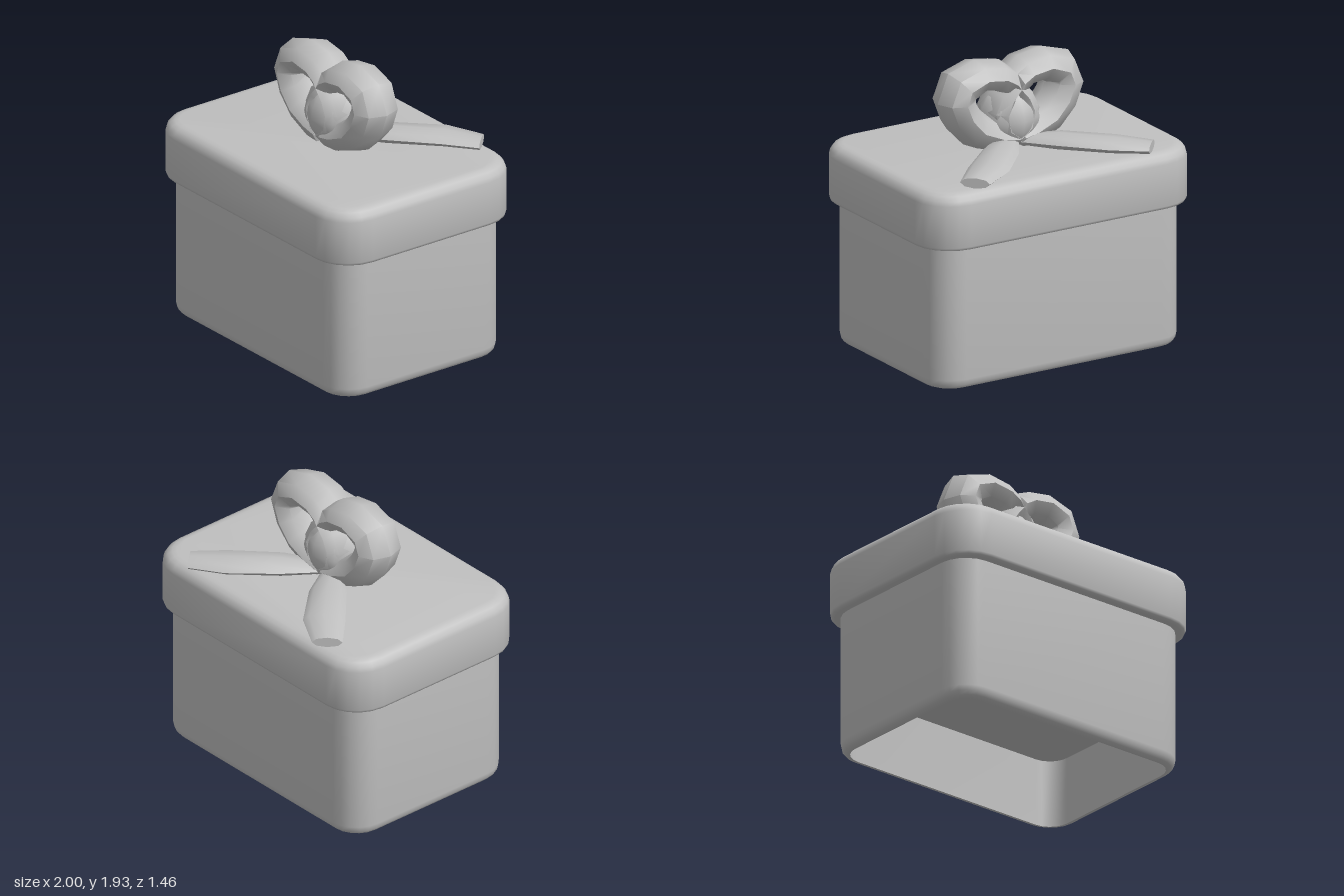
import * as THREE from 'three';
import { toCreasedNormals } from 'three/addons/utils/BufferGeometryUtils.js';

const grey = new THREE.MeshStandardMaterial({ color: 0xc0c0c0 });
grey.name = 'plain grey';

// Skin a list of rings (each counter-clockwise around the sweep direction)
function loft(rings, { closed = false, startCap = false, endCap = false, crease = 50 } = {}) {
  const n = rings[0].length, index = [];
  const rows = closed ? rings.length : rings.length - 1;
  for (let i = 0; i < rows; i++) {
    const a = i * n, b = ((i + 1) % rings.length) * n;
    for (let j = 0; j < n; j++) {
      const k = (j + 1) % n;
      index.push(a + j, a + k, b + k, a + j, b + k, b + j);
    }
  }
  const last = (rings.length - 1) * n;
  for (let j = 1; j < n - 1; j++) {
    if (startCap) index.push(0, j + 1, j);
    if (endCap) index.push(last, last + j, last + j + 1);
  }
  const g = new THREE.BufferGeometry();
  g.setAttribute('position', new THREE.Float32BufferAttribute(rings.flat(2), 3));
  g.setIndex(index);
  return toCreasedNormals(g, THREE.MathUtils.degToRad(crease));
}

// Horizontal rounded rectangle
function roundedRing(halfX, halfZ, radius, inset, y) {
  const ring = [], steps = 5, r = radius - inset;
  [[1, 1], [-1, 1], [-1, -1], [1, -1]].forEach(([sx, sz], q) => {
    for (let i = 0; i <= steps; i++) {
      const a = (q + i / steps) * Math.PI / 2;
      ring.push([sx * (halfX - radius) + r * Math.cos(a), y, -sz * (halfZ - radius) - r * Math.sin(a)]);
    }
  });
  return ring;
}

const roundedBody = (halfX, halfZ, radius, profile, options) =>
  loft(profile.map(([inset, y]) => roundedRing(halfX, halfZ, radius, inset, y)), options);

// One half of the heart-shaped bow: a closed loop of [x, y, half thickness]
function bowLoop(side) {
  const path = [
    [0, 1.40, 0.11], [0.03, 1.40, 0.11], [0.13, 1.42, 0.12], [0.27, 1.48, 0.12],
    [0.36, 1.58, 0.125], [0.405, 1.69, 0.125], [0.37, 1.78, 0.125], [0.24, 1.83, 0.105],
    [0.10, 1.81, 0.10], [0.025, 1.765, 0.11], [0, 1.73, 0.06], [0.06, 1.66, 0.08],
    [0.10, 1.57, 0.09], [0.08, 1.46, 0.08],
  ];
  const n = path.length;
  const rings = path.map(([x, y, half], i) => {
    const p = path[(i + n - 1) % n], q = path[(i + 1) % n];
    const t = new THREE.Vector2(side * (q[0] - p[0]), q[1] - p[1]).normalize();
    return Array.from({ length: 8 }, (_, j) => {
      const a = j * Math.PI / 4, d = half * Math.cos(a);
      // the two halves meet on the centre plane
      const px = side * Math.max(0, side * (side * x - t.y * d));
      return [px, y + t.x * d, 0.165 * Math.sin(a)];
    });
  });
  return loft(rings, { closed: true });
}

// Flattened ribbon tail: rows of [x, z, half width, centre height, half height]
function ribbonTail(side) {
  const rows = [
    [0.02, -0.05, 0.06, 1.37, 0.03], [0.22, -0.26, 0.12, 1.385, 0.05],
    [0.47, -0.51, 0.135, 1.385, 0.045], [0.665, -0.655, 0.098, 1.37, 0.035],
  ];
  const t = new THREE.Vector2(side * 0.73, -0.68).normalize();
  const rings = rows.map(([x, z, w, y, h]) => Array.from({ length: 8 }, (_, j) => {
    const a = j * Math.PI / 4, d = w * Math.cos(a);
    return [side * x + t.y * d, y + h * Math.sin(a), z - t.x * d];
  }));
  return loft(rings, { startCap: true, endCap: true });
}

export function createModel() {
  const model = new THREE.Group();
  model.name = 'giftBox';
  const add = (name, geometry) => {
    const mesh = new THREE.Mesh(geometry, grey);
    mesh.name = name;
    model.add(mesh);
    return mesh;
  };

  // Box: recessed underside, inner wall, rounded foot, outer wall
  add('box', roundedBody(0.935, 0.665, 0.2, [
    [0.06, 0.46], [0.06, 0.002], [0.055, 0], [0.025, 0.012], [0.007, 0.035], [0, 0.07], [0, 1.0],
  ], { startCap: true }));

  // Lid with a small lower bevel and a soft top edge
  add('lid', roundedBody(1, 0.73, 0.26, [
    [0.03, 0.955], [0.008, 0.962], [0, 0.98], [0, 1.26], [0.008, 1.29],
    [0.03, 1.318], [0.06, 1.332], [0.09, 1.336],
  ], { startCap: true, endCap: true }));

  // Bow loops and tails, mirrored left and right
  for (const [side, label] of [[1, 'left'], [-1, 'right']]) {
    add(label + 'BowLoop', bowLoop(side));
    add(label + 'RibbonTail', ribbonTail(side));
  }

  // Knot between the loops
  const knot = add('knot', new THREE.SphereGeometry(0.21, 8, 8));
  knot.position.y = 1.52;
  knot.scale.z = 0.95;

  return model;
}
